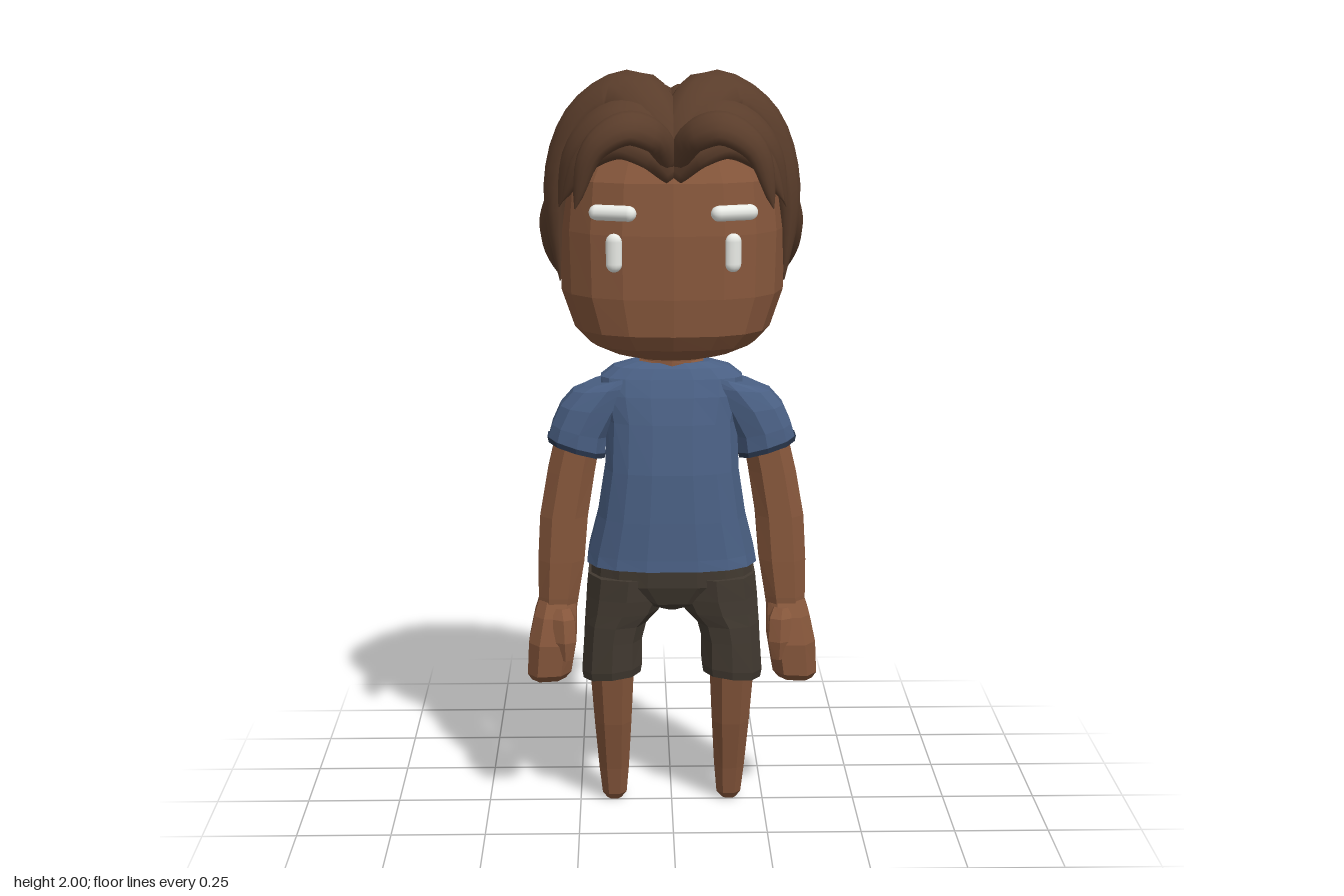
import * as THREE from 'three';

const V = (x, y, z) => new THREE.Vector3(x, y, z);
const mat = (color, flatShading) => new THREE.MeshStandardMaterial({ color, flatShading });

// Closed skin over a list of rings; mirrored copies flip x and the corner order
function skin(rings, mirror) {
  const n = rings[0].length, pos = [], idx = [];
  const add = (p) => pos.push(mirror ? -p.x : p.x, p.y, p.z);
  const tri = (a, b, c) => (mirror ? idx.push(a, c, b) : idx.push(a, b, c));
  rings.forEach((r) => r.forEach(add));
  for (let j = 0; j < rings.length - 1; j++) {
    for (let i = 0; i < n; i++) {
      const a = j * n + i, b = j * n + (i + 1) % n;
      tri(a, b, a + n);
      tri(b, b + n, a + n);
    }
  }
  const last = rings.length - 1;
  [0, last].forEach((j) => {
    const c = pos.length / 3;
    add(rings[j].reduce((s, p) => s.add(p), V(0, 0, 0)).divideScalar(n));
    for (let i = 0; i < n; i++) {
      const a = j * n + i, b = j * n + (i + 1) % n;
      if (j === 0) tri(c, b, a);
      else tri(c, a, b);
    }
  });
  const g = new THREE.BufferGeometry();
  g.setAttribute('position', new THREE.Float32BufferAttribute(pos, 3));
  g.setIndex(idx);
  g.computeVertexNormals();
  return g;
}

// Body part from bottom-up sections: [y, x centre, half width, z back, z front, slope in x]
function loft(sections, sides, power, mirror) {
  const bend = (v) => Math.sign(v) * Math.pow(Math.abs(v), 2 / power);
  return skin(sections.map(([y, cx, rx, z0, z1, slope = 0]) =>
    Array.from({ length: sides }, (_, i) => {
      const t = ((i + 0.5) / sides) * Math.PI * 2, dx = rx * bend(Math.cos(t));
      return V(cx + dx, y + slope * dx, (z0 + z1) / 2 - ((z1 - z0) / 2) * bend(Math.sin(t)));
    })), mirror);
}

// Tapered lock of hair along a curve, its flat side facing the head's middle
function lock(points, width, thick, start, power, mirror) {
  const curve = new THREE.CatmullRomCurve3(points.map((p) => V(...p)));
  const middle = V(0, 1.6, 0), rings = [];
  for (let j = 0; j <= 20; j++) {
    const t = j / 20, p = curve.getPoint(t), T = curve.getTangent(t);
    const N = p.clone().sub(middle);
    N.addScaledVector(T, -N.dot(T)).normalize();
    const B = T.clone().cross(N);
    const k = Math.max(0.03, Math.pow(Math.max(0, Math.sin(Math.PI * (start + (1 - start) * t))), power));
    rings.push(Array.from({ length: 12 }, (_, i) => {
      const a = (i / 12) * Math.PI * 2;
      return p.clone().addScaledVector(N, Math.cos(a) * thick * k).addScaledVector(B, Math.sin(a) * width * k);
    }));
  }
  return skin(rings, mirror);
}

export function createModel() {
  const model = new THREE.Group();
  const skinMat = mat(0x85563b, true), shirtMat = mat(0x4a6084, true), shortsMat = mat(0x423a31, true);
  const hemMat = mat(0x2b3950, true), hairMat = mat(0x5a3d2b, false), whiteMat = mat(0xe9ebe6, false);
  const add = (name, geometry, material) => {
    const mesh = new THREE.Mesh(geometry, material);
    mesh.name = name;
    model.add(mesh);
    return mesh;
  };
  const pair = (name, build, material) => {
    add('left' + name, build(false), material);
    add('right' + name, build(true), material);
  };

  // Head and neck
  add('head', loft([
    [1.257, 0, 0.09, -0.06, 0.12], [1.275, 0, 0.155, -0.1, 0.185], [1.305, 0, 0.215, -0.14, 0.25],
    [1.345, 0, 0.255, -0.195, 0.277], [1.44, 0, 0.29, -0.25, 0.282], [1.6, 0, 0.295, -0.28, 0.275],
    [1.73, 0, 0.283, -0.26, 0.255], [1.83, 0, 0.23, -0.2, 0.2], [1.89, 0, 0.1, -0.1, 0.1],
  ], 18, 2.6), skinMat);
  add('neck', loft([
    [1.16, 0, 0.125, -0.085, 0.06], [1.225, 0, 0.112, -0.078, 0.052], [1.24, 0, 0.08, -0.06, 0.05],
    [1.29, 0, 0.07, -0.055, 0.05],
  ], 10, 2.2), skinMat);

  // Eyes and eyebrows
  for (const s of [1, -1]) {
    const side = s > 0 ? 'left' : 'right';
    const eye = add(side + 'Eye', new THREE.CapsuleGeometry(0.021, 0.056, 6, 12), whiteMat);
    eye.scale.z = 0.7;
    eye.rotation.y = s * 0.25;
    eye.position.set(s * 0.15, 1.558, 0.26);
    const brow = add(side + 'Eyebrow', new THREE.CapsuleGeometry(0.02, 0.085, 6, 12), whiteMat);
    brow.rotation.set(0, s * 0.35, Math.PI / 2);
    brow.position.set(s * 0.153, 1.657, 0.248);
  }

  // Shirt with rounded shoulders
  add('shirtBody', loft([
    [0.69, 0, 0.23, -0.18, 0.14], [0.72, 0, 0.225, -0.19, 0.138], [0.82, 0, 0.2, -0.155, 0.135],
    [0.95, 0, 0.18, -0.122, 0.128], [1.08, 0, 0.175, -0.112, 0.108], [1.15, 0, 0.19, -0.104, 0.09],
    [1.195, 0, 0.19, -0.093, 0.072], [1.222, 0, 0.155, -0.08, 0.058], [1.236, 0, 0.105, -0.065, 0.045],
  ], 16, 2.7), shirtMat);
  const sleeve = [
    [1.005, 0.253, 0.078, -0.095, 0.08, 0.3], [1.05, 0.245, 0.075, -0.096, 0.081, 0.25],
    [1.11, 0.215, 0.083, -0.098, 0.08, 0.1], [1.165, 0.17, 0.095, -0.094, 0.073, -0.1],
    [1.19, 0.145, 0.09, -0.085, 0.062, -0.25],
  ];
  pair('Sleeve', (m) => loft(sleeve, 10, 2.5, m), shirtMat);
  pair('SleeveHem', (m) => loft([
    [0.998, 0.253, 0.077, -0.094, 0.079, 0.3], [1.012, 0.253, 0.08, -0.097, 0.082, 0.3],
  ], 10, 2.5, m), hemMat);

  // Arms, fists and thumbs
  pair('Arm', (m) => loft([
    [0.53, 0.31, 0.052, -0.04, 0.075], [0.6, 0.304, 0.057, -0.045, 0.08], [0.7, 0.296, 0.066, -0.055, 0.08],
    [0.82, 0.288, 0.068, -0.065, 0.075], [0.94, 0.268, 0.067, -0.078, 0.07], [1.05, 0.245, 0.064, -0.08, 0.065],
  ], 8, 2.4, m), skinMat);
  pair('Hand', (m) => loft([
    [0.372, 0.333, 0.048, -0.045, 0.09, -0.05], [0.395, 0.33, 0.062, -0.062, 0.12, -0.05],
    [0.48, 0.321, 0.067, -0.056, 0.122], [0.55, 0.313, 0.06, -0.048, 0.1], [0.59, 0.308, 0.052, -0.04, 0.075],
  ], 8, 2.8, m), skinMat);
  pair('Thumb', (m) => loft([
    [0.44, 0.285, 0.02, 0.07, 0.12], [0.49, 0.287, 0.033, 0.05, 0.128],
    [0.55, 0.29, 0.033, 0.04, 0.115], [0.575, 0.295, 0.025, 0.03, 0.09],
  ], 6, 2.4, m), skinMat);

  // Shorts
  add('shortsHips', loft([
    [0.568, 0, 0.03, -0.1, 0.07], [0.59, 0, 0.13, -0.13, 0.1], [0.64, 0, 0.222, -0.165, 0.118],
    [0.73, 0, 0.212, -0.17, 0.125],
  ], 16, 2.7), shortsMat);
  pair('ShortsLeg', (m) => loft([
    [0.378, 0.162, 0.08, -0.083, 0.1, -0.1], [0.4, 0.162, 0.084, -0.088, 0.105, -0.1],
    [0.48, 0.159, 0.081, -0.1, 0.108], [0.525, 0.152, 0.086, -0.115, 0.11], [0.56, 0.134, 0.102, -0.135, 0.113],
    [0.6, 0.122, 0.112, -0.155, 0.116], [0.66, 0.116, 0.112, -0.168, 0.12],
  ], 10, 2.5, m), shortsMat);

  // Legs tapering to small feet
  pair('Leg', (m) => loft([
    [0.003, 0.158, 0.02, -0.05, 0.0], [0.022, 0.157, 0.035, -0.064, 0.014], [0.1, 0.158, 0.043, -0.064, 0.03],
    [0.24, 0.16, 0.053, -0.06, 0.067], [0.4, 0.162, 0.063, -0.057, 0.097],
  ], 8, 2.4, m), skinMat);

  // Hair underlayer: tilted half shell
  const cap = new THREE.SphereGeometry(0.3, 32, 16, 0, Math.PI * 2, 0, Math.PI / 2);
  cap.rotateX(-0.92);
  cap.translate(0, 1.615, -0.045);
  const capMat = hairMat.clone();
  capMat.side = THREE.DoubleSide;
  add('hairUnderlayer', cap, capMat);

  // Swept-back locks, blended from the crown to the side of the head
  const crown = [[0.04, 1.895, 0.11], [0.045, 1.885, -0.18], [0.045, 1.64, -0.325], [0.035, 1.385, -0.26]];
  const middle = [[0.2, 1.85, 0.06], [0.235, 1.775, -0.15], [0.215, 1.59, -0.28], [0.14, 1.38, -0.255]];
  const temple = [[0.275, 1.67, 0.04], [0.287, 1.58, -0.05], [0.265, 1.49, -0.13], [0.21, 1.385, -0.2]];
  const count = 6;
  for (let i = 0; i < count; i++) {
    const s = (i / (count - 1)) * 2, [from, to, f] = s <= 1 ? [crown, middle, s] : [middle, temple, s - 1];
    const path = from.map((p, k) => p.map((v, c) => v + (to[k][c] - v) * f));
    // every other lock stands a little prouder
    pair('BackLock' + (i + 1), (m) => lock(path, 0.067, i % 2 ? 0.06 : 0.049, 0.25, 0.4, m), hairMat);
  }

  // Parted fringe: large side sweep, two short locks and a loose forward curl
  const fringe = {
    SideSweep: [[[0, 1.77, 0.25], [0.05, 1.88, 0.175], [0.125, 1.935, 0.075], [0.23, 1.865, 0.05],
      [0.295, 1.7, 0.062], [0.29, 1.46, 0.07]], 0.092, 0.06, 0.12, 0.75],
    UpperFringe: [[[0, 1.76, 0.24], [0.06, 1.86, 0.21], [0.15, 1.88, 0.18], [0.24, 1.81, 0.16],
      [0.29, 1.66, 0.14]], 0.07, 0.04, 0.12, 0.7],
    LowerFringe: [[[0, 1.75, 0.25], [0.05, 1.81, 0.26], [0.13, 1.84, 0.25], [0.22, 1.79, 0.22],
      [0.28, 1.68, 0.195]], 0.055, 0.035, 0.12, 0.7],
    ForwardCurl: [[[0.005, 1.78, 0.25], [0.05, 1.855, 0.32], [0.12, 1.877, 0.35], [0.2, 1.825, 0.358],
      [0.245, 1.68, 0.35]], 0.048, 0.032, 0.12, 0.65],
  };
  for (const [name, spec] of Object.entries(fringe)) pair(name, (m) => lock(...spec, m), hairMat);

  return model;
}
